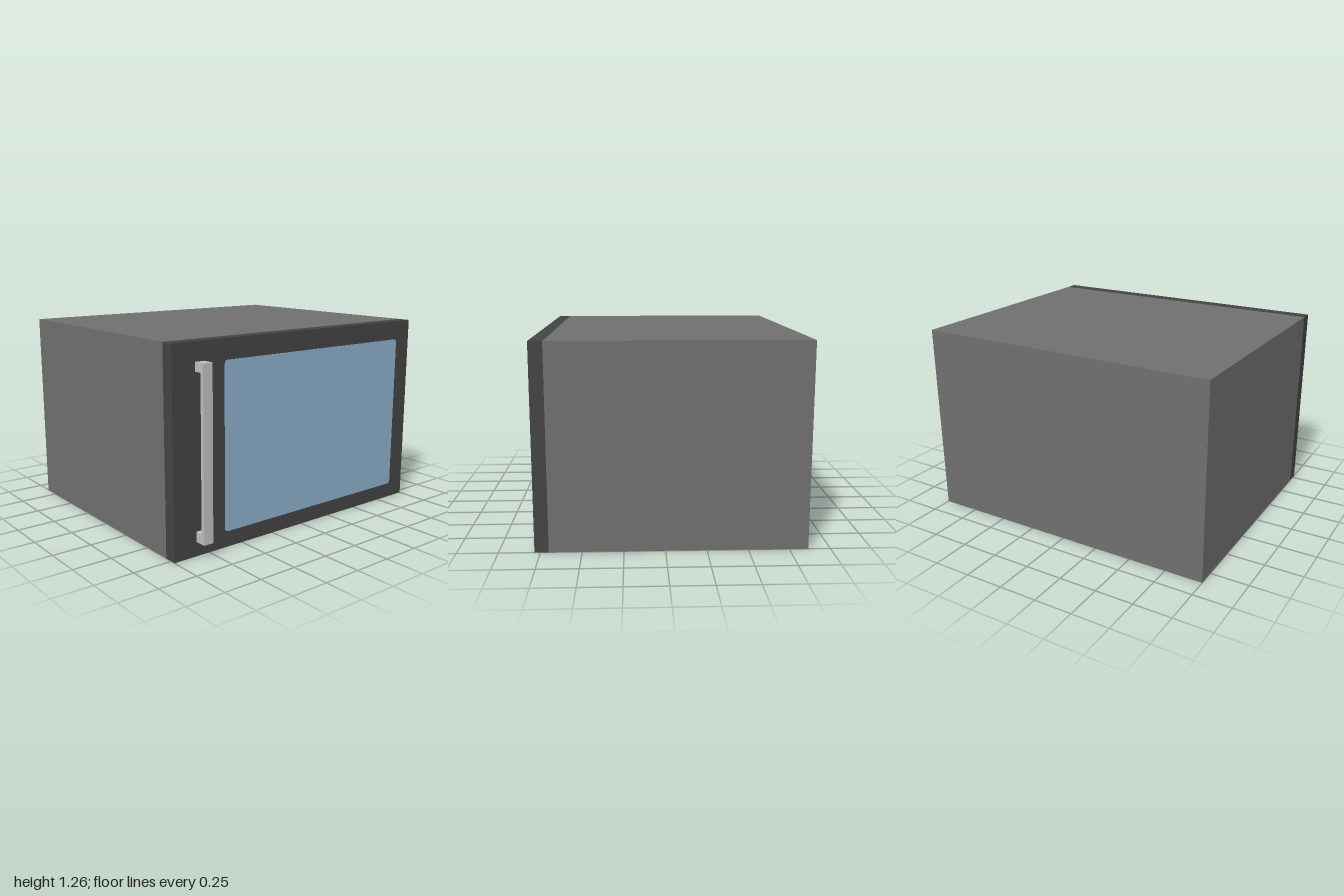
import * as THREE from 'three';

const flat = (name, color) => {
  const m = new THREE.MeshStandardMaterial({ color });
  m.name = name;
  return m;
};

// Rounded rectangle centred on the origin
function roundedRect(w, h, r) {
  const x = w / 2, y = h / 2, s = new THREE.Shape();
  s.moveTo(-x + r, -y);
  s.lineTo(x - r, -y).absarc(x - r, -y + r, r, -Math.PI / 2, 0);
  s.lineTo(x, y - r).absarc(x - r, y - r, r, 0, Math.PI / 2);
  s.lineTo(-x + r, y).absarc(-x + r, y - r, r, Math.PI / 2, Math.PI);
  s.lineTo(-x, -y + r).absarc(-x + r, -y + r, r, Math.PI, Math.PI * 1.5);
  return s;
}

export function createModel() {
  const group = new THREE.Group();
  group.name = 'microwaveOven';
  const bodyGrey = flat('bodyGrey', 0x707070);
  const doorGrey = flat('doorGrey', 0x444444);
  const glassBlue = flat('glassBlue', 0x8cb0cc);
  const handleSilver = flat('handleSilver', 0xc0c0c0);

  const height = 1.265, split = 0.7, doorFace = 0.785;
  const add = (name, geometry, material) => {
    const mesh = new THREE.Mesh(geometry, material);
    mesh.name = name;
    group.add(mesh);
  };
  const slab = (x0, x1) =>
    new THREE.BoxGeometry(x1 - x0, height, 2).translate((x0 + x1) / 2, height / 2, 0);

  // Cabinet and the door slab on its +x side
  add('cabinet', slab(-0.865, split), bodyGrey);
  add('door', slab(split, doorFace), doorGrey);

  // Window: thin rounded plate on the door face
  const glass = new THREE.ExtrudeGeometry(roundedRect(1.505, 1.04, 0.025),
    { depth: 0.003, bevelEnabled: false, curveSegments: 6 });
  glass.rotateY(Math.PI / 2).translate(doorFace, 0.62, -0.118);
  add('window', glass, glassBlue);

  // Handle: upright bar with a foot at each end, cut from one profile
  const profile = new THREE.Shape([
    [doorFace, 0.09], [0.86, 0.09], [0.86, 1.15], [doorFace, 1.15],
    [doorFace, 1.095], [0.836, 1.095], [0.836, 0.153], [doorFace, 0.153],
  ].map(([x, y]) => new THREE.Vector2(x, y)));
  const handle = new THREE.ExtrudeGeometry(profile, { depth: 0.066, bevelEnabled: false });
  add('handle', handle.translate(0, 0, 0.778), handleSilver);

  return group;
}
